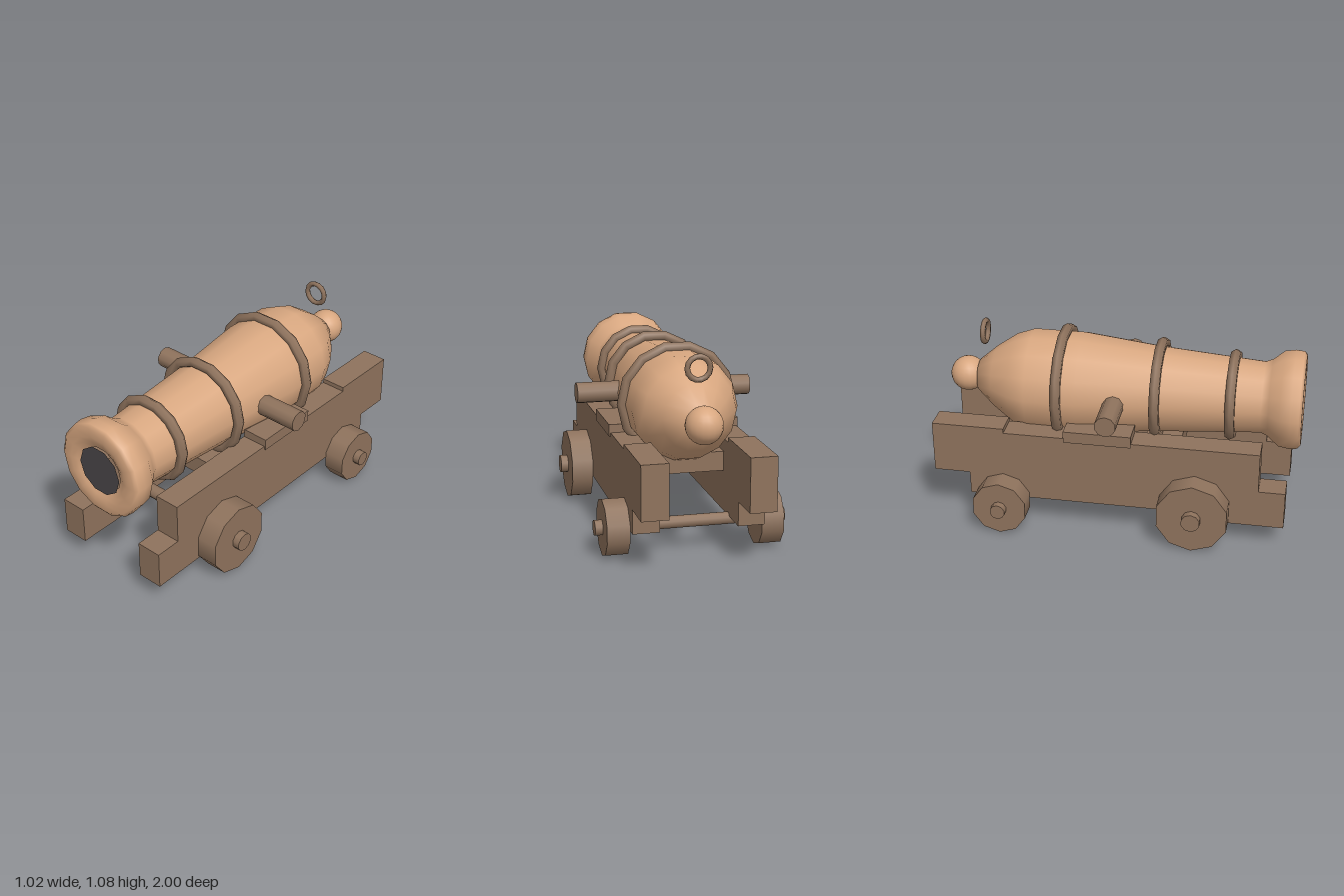
import * as THREE from 'three';

export function createModel() {
  const model = new THREE.Group();
  const material = (name, color) => {
    const m = new THREE.MeshStandardMaterial({ color });
    m.name = name;
    return m;
  };
  const bronze = material('bronze', 0xd8a780);
  const wood = material('brown wood', 0x8f735d);
  const dark = material('bore black', 0x4a4648);

  const add = (name, geometry, mat, x = 0, y = 0, z = 0) => {
    const mesh = new THREE.Mesh(geometry, mat);
    mesh.name = name;
    mesh.position.set(x, y, z);
    model.add(mesh);
    return mesh;
  };
  // Cylinder lying along x, with a corner pointing straight up
  const rod = (radius, length, sides = 10) =>
    new THREE.CylinderGeometry(radius, radius, length, sides, 1, false, Math.PI / 2).rotateZ(Math.PI / 2);

  const axisY = 0.74;

  // Barrel turned from breech to muzzle: [radius, z]
  const profile = [
    [0, -0.81], [0.09, -0.81], [0.175, -0.71], [0.25, -0.6], [0.285, -0.5], [0.286, -0.22],
    [0.24, 0.2], [0.198, 0.78], [0.215, 0.82], [0.265, 0.88], [0.275, 0.94], [0.27, 0.985],
    [0.25, 1], [0.2, 1], [0.165, 0.992], [0.13, 0.975],
  ].map(([r, z]) => new THREE.Vector2(r, z));
  add('barrel', new THREE.LatheGeometry(profile, 14, Math.PI / 2).rotateX(Math.PI / 2), bronze, 0, axisY, 0);
  add('bore', new THREE.CircleGeometry(0.14, 10), dark, 0, axisY, 0.993);
  add('breechKnob', new THREE.SphereGeometry(0.098, 20, 14), bronze, 0, 0.743, -0.88);

  // Reinforcing bands: [outer radius, z]
  for (const [r, z] of [[0.253, 0.615], [0.29, 0.212], [0.327, -0.32]]) {
    add('barrelBand', new THREE.TorusGeometry(r - 0.03, 0.03, 6, 14), wood, 0, axisY, z);
  }
  add('breechRing', new THREE.TorusGeometry(0.06, 0.015, 6, 14), wood, 0, 1.01, -0.77);
  add('trunnion', rod(0.058, 0.98), wood, 0, axisY, -0.01);

  // Stepped carriage cheek, drawn as (z, y)
  const cheek = new THREE.Shape([
    [0.945, 0.13], [0.945, 0.345], [0.8, 0.345], [0.8, 0.57], [-0.6, 0.57], [-0.6, 0.595],
    [-1, 0.595], [-1, 0.305], [-0.8, 0.305], [-0.8, 0.175], [0.42, 0.175], [0.42, 0.13],
  ].map(([z, y]) => new THREE.Vector2(z, y)));
  const cheekGeometry = new THREE.ExtrudeGeometry(cheek, { depth: 0.143, bevelEnabled: false })
    .rotateY(-Math.PI / 2).translate(0.0715, 0, 0);
  for (const side of [1, -1]) {
    add('carriageCheek', cheekGeometry, wood, side * 0.2785, 0, 0);
    add('trunnionPad', new THREE.BoxGeometry(0.152, 0.065, 0.37), wood, side * 0.283, 0.583, -0.08);
  }

  // Cross members between the cheeks
  for (const z of [0.25, -0.42]) {
    add('transom', new THREE.BoxGeometry(0.43, 0.105, 0.2), wood, 0, 0.448, z);
  }

  // Wheels and axles: [z, wheel radius, hub radius, axle radius]
  for (const [z, r, hub, axle] of [[0.455, 0.2, 0.052, 0.038], [-0.61, 0.153, 0.042, 0.034]]) {
    const y = r + 0.008;
    add('axle', rod(axle, 0.9), wood, 0, y, z);
    for (const side of [1, -1]) {
      add('wheel', rod(r, 0.12), wood, side * 0.411, y, z);
      add('hub', rod(hub, 0.06), wood, side * 0.482, y, z);
    }
  }

  return model;
}
